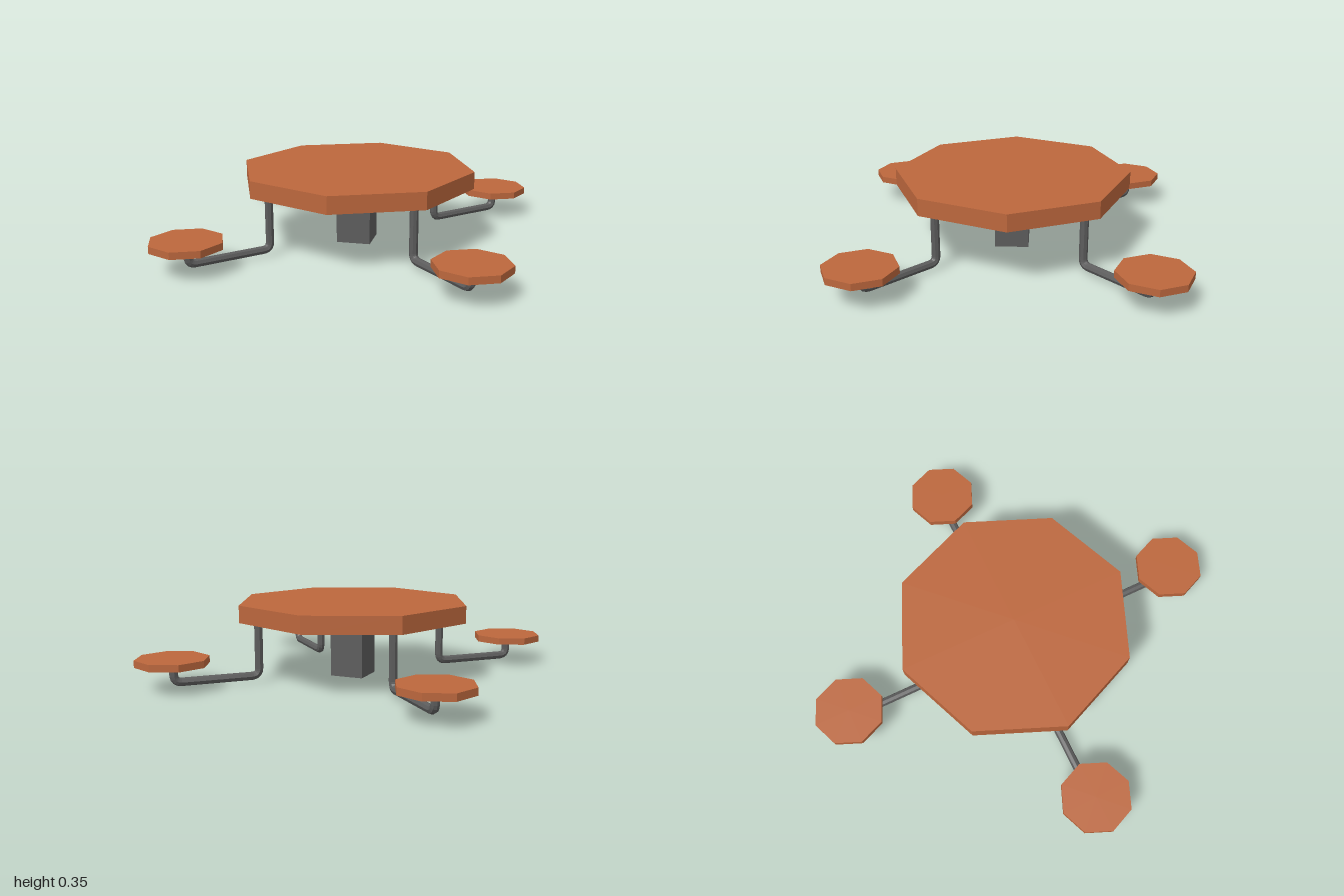
import * as THREE from 'three';

// Faceted normals for the low-poly look
function faceted(geometry) {
  const g = geometry.index ? geometry.toNonIndexed() : geometry;
  g.computeVertexNormals();
  return g;
}

// Upright prism between two heights, with corners on the x and z axes
function prism(name, radius, y0, y1, sides, material) {
  const g = faceted(new THREE.CylinderGeometry(radius, radius, y1 - y0, sides));
  const mesh = new THREE.Mesh(g, material);
  mesh.name = name;
  mesh.position.y = (y0 + y1) / 2;
  return mesh;
}

// U-shaped path with rounded corners: down from the top, outward, up to the seat
function armPath() {
  const inner = 0.454, outer = 0.835, low = 0.03, bend = 0.035;
  const v = (x, y) => new THREE.Vector3(x, y, 0);
  const path = new THREE.CurvePath();
  path.add(new THREE.LineCurve3(v(inner, 0.28), v(inner, low + bend)));
  path.add(new THREE.QuadraticBezierCurve3(v(inner, low + bend), v(inner, low), v(inner + bend, low)));
  path.add(new THREE.LineCurve3(v(inner + bend, low), v(outer - bend, low)));
  path.add(new THREE.QuadraticBezierCurve3(v(outer - bend, low), v(outer, low), v(outer, low + bend)));
  path.add(new THREE.LineCurve3(v(outer, low + bend), v(outer, 0.115)));
  return path;
}

export function createModel() {
  const wood = new THREE.MeshStandardMaterial({ color: 0xbc673d });
  wood.name = 'wood';
  const metal = new THREE.MeshStandardMaterial({ color: 0x5c5c5c });
  metal.name = 'metal';

  const table = new THREE.Group();
  table.name = 'picnicTable';
  table.add(prism('tableTop', 0.541, 0.273, 0.351, 8, wood));
  table.add(prism('centrePost', 0.111, 0, 0.275, 4, metal));

  // Four seats on bent arms around the table
  const armGeometry = faceted(new THREE.TubeGeometry(armPath(), 60, 0.019, 8, false));
  for (let i = 0; i < 4; i++) {
    const unit = new THREE.Group();
    unit.name = 'seatUnit' + (i + 1);
    const arm = new THREE.Mesh(armGeometry, metal);
    arm.name = 'seatArm';
    const seat = prism('seat', 0.162, 0.108, 0.139, 8, wood);
    seat.position.x = 0.838;
    unit.add(arm, seat);
    unit.rotation.y = i * Math.PI / 2;
    table.add(unit);
  }
  return table;
}
